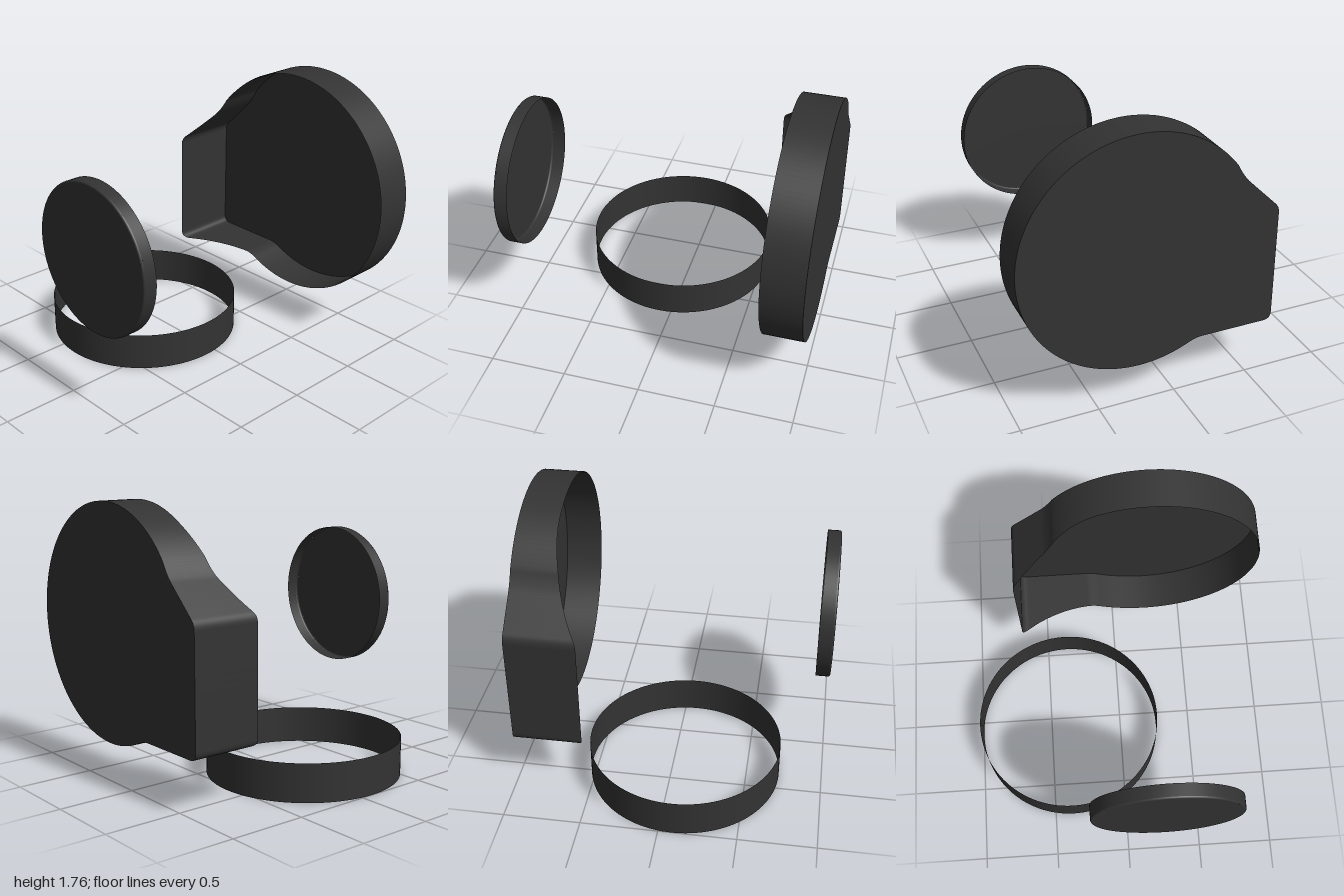
import * as THREE from 'three';

const material = new THREE.MeshStandardMaterial({ color: 0x333333, side: THREE.DoubleSide });

function part(name, geometry) {
  const mesh = new THREE.Mesh(geometry, material);
  mesh.name = name;
  return mesh;
}

// Thin wall that follows a closed outline (counter-clockwise from +z) between two depth rules
function wallGeometry(outline, backZ, frontZ) {
  const positions = [], index = [], n = outline.length;
  outline.forEach((p, i) => {
    positions.push(p.x, p.y, backZ(p.x), p.x, p.y, frontZ(p.x));
    const a = 2 * i, b = 2 * ((i + 1) % n);
    index.push(a, b, b + 1, a, b + 1, a + 1);
  });
  const g = new THREE.BufferGeometry();
  g.setAttribute('position', new THREE.Float32BufferAttribute(positions, 3));
  g.setIndex(index);
  g.computeVertexNormals();
  return g;
}

// Outline points without repeated ends, straight runs split so the cut edge stays curved
function outlinePoints(shape) {
  const pts = [];
  for (const curve of shape.curves) {
    const steps = curve.isLineCurve ? 16 : curve.isEllipseCurve ? 110 : 8;
    for (let i = 0; i < steps; i++) {
      const p = curve.getPoint(i / steps);
      if (!pts.length || p.distanceTo(pts[pts.length - 1]) > 1e-4) pts.push(p);
    }
  }
  if (pts[0].distanceTo(pts[pts.length - 1]) < 1e-4) pts.pop();
  return pts;
}

export function createModel() {
  const model = new THREE.Group();
  model.name = 'openHousing';
  const cx = 0.235, cy = 1.007, R = 0.757;

  // Round housing with a flared outlet on one side, open at the front
  const a0 = THREE.MathUtils.degToRad(243.7), a1 = THREE.MathUtils.degToRad(143);
  const onCircle = a => [cx + R * Math.cos(a), cy + R * Math.sin(a)];
  const s = new THREE.Shape();
  s.moveTo(...onCircle(a0));
  s.absarc(cx, cy, R, a0, a1 + 2 * Math.PI, false);
  s.quadraticCurveTo(-0.405, 1.395, -0.445, 1.35);
  s.lineTo(-0.64, 1.16);
  s.quadraticCurveTo(-0.665, 1.135, -0.665, 1.095);
  s.lineTo(-0.665, 0.4);
  s.quadraticCurveTo(-0.665, 0.347, -0.612, 0.347);
  s.lineTo(-0.18, 0.347);
  s.quadraticCurveTo(-0.149, 0.347, ...onCircle(a0));
  const bodyOutline = outlinePoints(s);

  // The front edge sweeps forward in an arc towards the outlet
  const sweep = 0.916;
  const bodyFront = x => {
    const d = Math.max(0, -0.1 - x);
    return -0.74 + sweep - Math.sqrt(sweep * sweep - d * d);
  };
  const body = new THREE.Group();
  body.name = 'housing';
  const plate = new THREE.ShapeGeometry(new THREE.Shape(bodyOutline));
  plate.translate(0, 0, -1);
  body.add(part('housingBackPlate', plate));
  body.add(part('housingWall', wallGeometry(bodyOutline, () => -1, bodyFront)));
  model.add(body);

  // Shallow cap with a rounded front edge, open at the back
  const capR = 0.483, faceR = 0.473;
  const cap = new THREE.Group();
  cap.name = 'cap';
  const circle = new THREE.Shape().absarc(cx, cy, capR, 0, 2 * Math.PI, false);
  const capBack = x => 0.91 - 0.008 * Math.max(0, (cx - x) / capR) ** 2;
  cap.add(part('capWall', wallGeometry(outlinePoints(circle), capBack, () => 0.988)));
  const face = new THREE.CircleGeometry(faceR, 110);
  face.translate(cx, cy, 1);
  cap.add(part('capFace', face));
  const profile = [];
  for (let i = 0; i <= 4; i++) {
    const t = (i / 4) * Math.PI / 2;
    profile.push(new THREE.Vector2(faceR + 0.01 * Math.cos(t), 0.988 + 0.012 * Math.sin(t)));
  }
  const edge = new THREE.LatheGeometry(profile, 110);
  edge.rotateX(Math.PI / 2);
  edge.translate(cx, cy, 0);
  cap.add(part('capRoundedEdge', edge));
  model.add(cap);

  // Thin band lying on the ground
  const band = part('band', new THREE.CylinderGeometry(0.631, 0.631, 0.247, 110, 1, true));
  band.position.set(-0.369, 0.1235, 0.086);
  model.add(band);

  return model;
}
